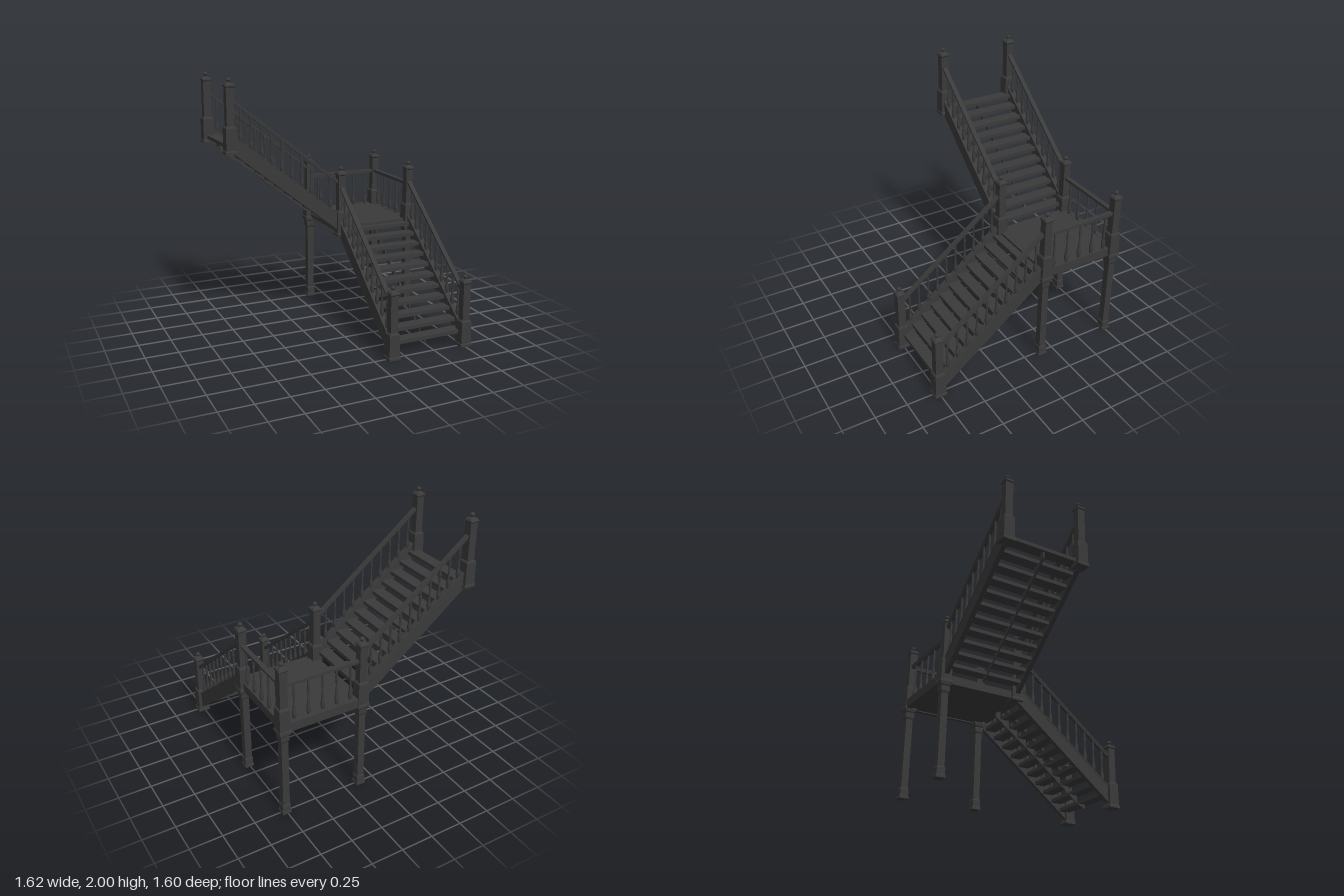
import * as THREE from 'three';

const RUN = 0.081, RISE = 0.0645, SLOPE = RISE / RUN;
const HALF = 0.306; // half the distance between the two stringers
const flat = new THREE.MeshStandardMaterial({ color: 0x3a3a3a, flatShading: true });
const smooth = new THREE.MeshStandardMaterial({ color: 0x3a3a3a });

function add(parent, name, geometry, x = 0, y = 0, z = 0, material = flat) {
  const mesh = new THREE.Mesh(geometry, material);
  mesh.name = name;
  mesh.position.set(x, y, z);
  parent.add(mesh);
  return mesh;
}

// Square turned profile: [half width, height] pairs
function squareProfile(pairs) {
  const pts = pairs.map(([w, y]) => new THREE.Vector2(w * Math.SQRT2, y));
  return new THREE.LatheGeometry(pts, 4, Math.PI / 4);
}

// Side outline extruded to a board centred on z = 0
function board(points, thickness) {
  const shape = new THREE.Shape(points.map(([x, y]) => new THREE.Vector2(x, y)));
  return new THREE.ExtrudeGeometry(shape, { depth: thickness, bevelEnabled: false })
    .translate(0, 0, -thickness / 2);
}

// Sloping board between two run positions; y0 is the underside at run 0
function slopingBoard(r0, r1, y0, height, thickness) {
  const a = y0 + SLOPE * r0, b = y0 + SLOPE * r1;
  return board([[r0, a], [r1, b], [r1, b + height], [r0, a + height]], thickness);
}

const newelGeometry = squareProfile([
  [0, 0], [0.048, 0], [0.048, 0.016], [0.043, 0.026], [0.041, 0.19], [0.038, 0.2],
  [0.03, 0.206], [0.03, 0.49], [0.036, 0.497], [0.036, 0.506], [0.028, 0.518], [0.012, 0.525], [0, 0.525],
]);
const finialGeometry = new THREE.LatheGeometry([
  [0.02, 0.518], [0.012, 0.526], [0.01, 0.532], [0.018, 0.54], [0.019, 0.547], [0.013, 0.557], [0, 0.561],
].map(([r, y]) => new THREE.Vector2(r, y)), 12);
const legGeometry = squareProfile([
  [0, 0], [0.036, 0], [0.036, 0.018], [0.032, 0.025], [0.032, 0.075], [0.027, 0.085],
  [0.027, 0.635], [0.034, 0.65], [0.034, 0.69], [0.041, 0.7], [0.041, 0.73], [0, 0.73],
]);
// Turned baluster of unit height
const balusterGeometry = new THREE.LatheGeometry([
  [0.011, 0], [0.011, 0.06], [0.015, 0.09], [0.016, 0.17], [0.012, 0.27], [0.008, 0.34],
  [0.012, 0.37], [0.008, 0.4], [0.0065, 0.55], [0.009, 0.72], [0.012, 0.76], [0.008, 0.79], [0.008, 1],
].map(([r, y]) => new THREE.Vector2(r, y)), 8);

function newel(parent, x, y, z) {
  const post = new THREE.Group();
  post.name = 'newelPost';
  post.position.set(x, y, z);
  add(post, 'newelShaft', newelGeometry);
  add(post, 'newelFinial', finialGeometry, 0, 0, 0, smooth);
  parent.add(post);
}

function baluster(parent, x, y, z, height) {
  add(parent, 'baluster', balusterGeometry, x, y, z, smooth).scale.y = height;
}

// One straight flight climbing along local +x
function flight(name) {
  const g = new THREE.Group();
  g.name = name;
  for (let i = 0; i < 11; i++) {
    add(g, 'tread', new THREE.BoxGeometry(0.092, 0.028, HALF * 2 - 0.03), i * RUN + 0.046, 0.11 + i * RISE, 0);
  }
  // Thin saw-toothed carriage under the middle of the treads
  const teeth = [[0.035, 0.055]];
  for (let i = 0; i < 11; i++) {
    const r = i * RUN + 0.035, y = 0.098 + i * RISE;
    teeth.push([r, y], [r + (i < 10 ? RUN : 0.04), y]);
  }
  const outline = [[0.885, 0.69], ...teeth.reverse()];
  add(g, 'centreCarriage', board(outline.reverse(), 0.012));

  for (const side of [-1, 1]) {
    const z = side * HALF;
    add(g, 'stringer', slopingBoard(0.02, 0.885, 0.016, 0.13, 0.036), 0, 0, z);
    add(g, 'stringerCap', slopingBoard(0.02, 0.885, 0.14, 0.014, 0.044), 0, 0, z);
    add(g, 'handrail', slopingBoard(0.015, 0.88, 0.397, 0.016, 0.026), 0, 0, z);
    add(g, 'handrailCap', slopingBoard(0.015, 0.88, 0.41, 0.016, 0.036), 0, 0, z);
    for (let i = 0; i < 10; i++) {
      const r = 0.077 + i * RUN;
      baluster(g, r, 0.145 + SLOPE * r, z, 0.26);
    }
  }
  return g;
}

// Level railing along local x, centred on the group
function levelRailing(name, length) {
  const g = new THREE.Group();
  g.name = name;
  add(g, 'handrail', new THREE.BoxGeometry(length, 0.014, 0.024), 0, 1.077, 0);
  add(g, 'handrailCap', new THREE.BoxGeometry(length, 0.014, 0.036), 0, 1.09, 0);
  for (let i = -2; i <= 2; i++) baluster(g, i * 0.113, 0.785, 0, 0.29);
  return g;
}

export function createModel() {
  const model = new THREE.Group();
  model.name = 'quarterTurnStaircase';

  const lower = flight('lowerFlight');
  lower.rotation.y = Math.PI / 2;
  lower.position.set(0.448, 0, 0.745);
  const upper = flight('upperFlight');
  upper.rotation.y = Math.PI;
  upper.position.set(0.127, 0.73, -0.446);
  model.add(lower, upper);

  // Landing platform with edge boards
  add(model, 'landingFloor', new THREE.BoxGeometry(0.645, 0.06, 0.645), 0.448, 0.758, -0.448);
  add(model, 'landingBackEdge', new THREE.BoxGeometry(0.57, 0.07, 0.04), 0.44, 0.755, -0.77);
  add(model, 'landingSideEdge', new THREE.BoxGeometry(0.036, 0.07, 0.57), 0.757, 0.755, -0.445);

  // Railings on the two open sides of the landing
  const back = levelRailing('landingBackRailing', 0.59);
  back.position.set(0.44, 0, -0.752);
  const side = levelRailing('landingSideRailing', 0.58);
  side.rotation.y = Math.PI / 2;
  side.position.set(0.757, 0, -0.445);
  model.add(back, side);

  // Newel posts: foot, landing and top
  for (const [x, y, z] of [
    [0.143, 0, 0.75], [0.757, 0, 0.75],
    [0.143, 0.712, -0.14], [0.757, 0.712, -0.14], [0.757, 0.712, -0.752], [0.125, 0.712, -0.752],
    [-0.762, 1.44, -0.14], [-0.762, 1.44, -0.752],
  ]) newel(model, x, y, z);

  // Legs carrying the landing
  for (const [x, z] of [[0.757, -0.14], [0.757, -0.752], [0.125, -0.752]]) {
    add(model, 'landingLeg', legGeometry, x, 0, z);
  }
  return model;
}
